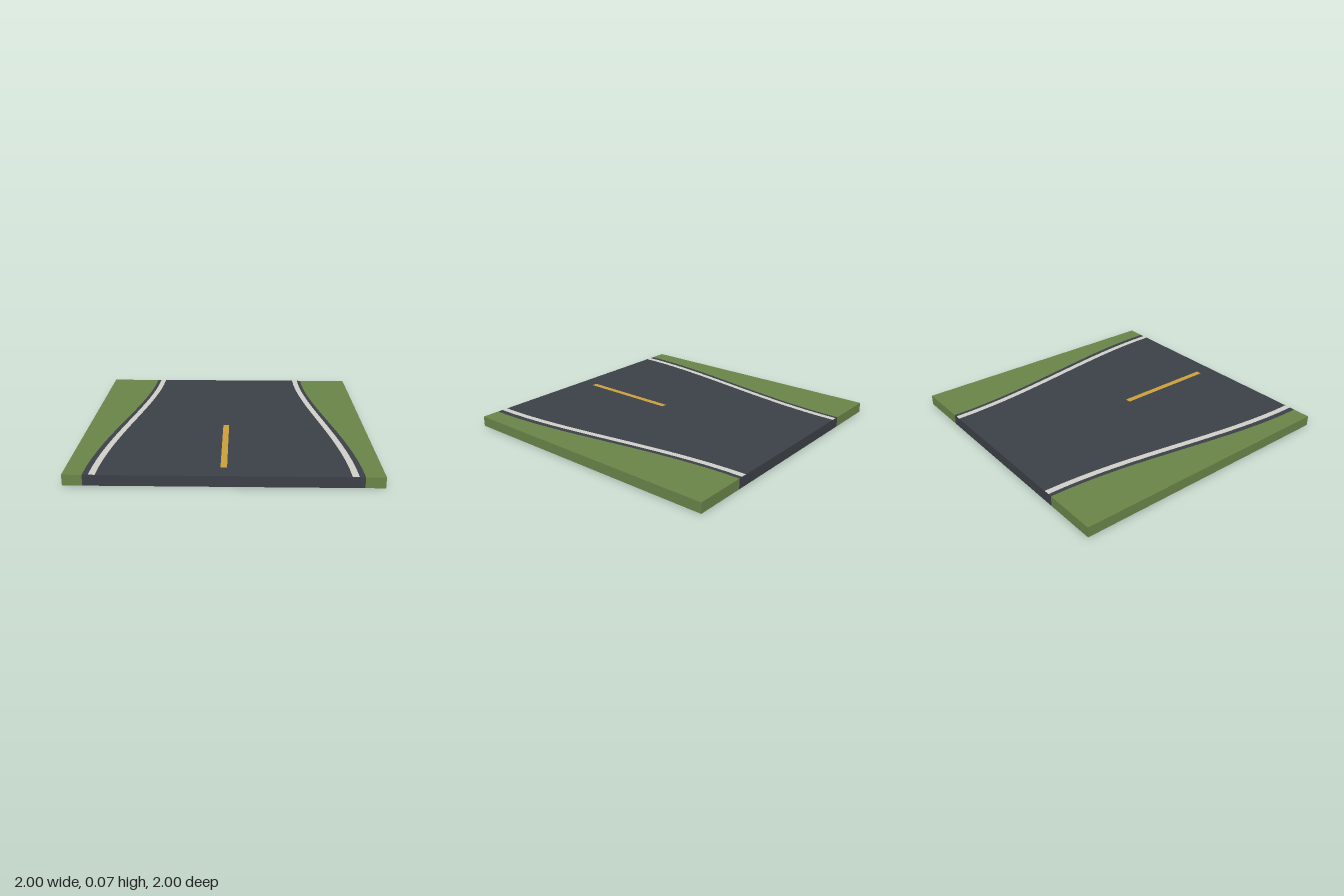
import * as THREE from 'three';

const TOP = 0.073, LIFT = 0.0015, STEPS = 16;

// Smooth taper from the narrow back (z = -1) to the wide front (z = 1)
const taper = (back, front) => z => THREE.MathUtils.lerp(back, front, THREE.MathUtils.smoothstep(z, -1, 1));
const roadEdge = taper(0.625, 0.873);
const lineOuter = taper(0.598, 0.835);
const lineInner = taper(0.556, 0.792);

function paint(name, color) {
  const m = new THREE.MeshStandardMaterial({ color, side: THREE.DoubleSide });
  m.name = name;
  return m;
}

// Sheet stretched between two rails of points
function sheet(name, material, railA, railB) {
  const index = [], n = railA.length;
  for (let i = 0; i < n - 1; i++) index.push(i, i + 1, n + i, n + i, i + 1, n + i + 1);
  const g = new THREE.BufferGeometry().setFromPoints([...railA, ...railB]);
  g.setIndex(index);
  g.computeVertexNormals();
  const mesh = new THREE.Mesh(g, material);
  mesh.name = name;
  return mesh;
}

// Level ribbon between two x(z) edges, left edge first
function ribbon(name, material, xa, xb, y) {
  const rail = f => Array.from({ length: STEPS + 1 }, (_, i) => {
    const z = -1 + 2 * i / STEPS;
    return new THREE.Vector3(f(z), y, z);
  });
  return sheet(name, material, rail(xa), rail(xb));
}

// Upright skirt panel from the ground to the surface
function wall(name, material, x0, z0, x1, z1) {
  const rail = y => [new THREE.Vector3(x0, y, z0), new THREE.Vector3(x1, y, z1)];
  return sheet(name, material, rail(0), rail(TOP));
}

export function createModel() {
  const model = new THREE.Group();
  model.name = 'taperingRoadTile';
  const grass = paint('grass', 0x6a8549);
  const asphalt = paint('asphalt', 0x3c4148);
  const white = paint('whitePaint', 0xd2d0c9);
  const yellow = paint('yellowPaint', 0xcba03c);

  // Road surface and its end skirts
  const f = roadEdge(1), b = roadEdge(-1);
  model.add(
    ribbon('roadSurface', asphalt, z => -roadEdge(z), roadEdge, TOP),
    wall('roadFront', asphalt, -f, 1, f, 1),
    wall('roadBack', asphalt, b, -1, -b, -1));

  // Grass verges with their skirts, hollow underneath
  model.add(
    ribbon('vergeRight', grass, () => -1, z => -roadEdge(z), TOP),
    ribbon('vergeLeft', grass, roadEdge, () => 1, TOP),
    wall('vergeRightFront', grass, -1, 1, -f, 1),
    wall('vergeLeftFront', grass, f, 1, 1, 1),
    wall('vergeRightBack', grass, -b, -1, -1, -1),
    wall('vergeLeftBack', grass, 1, -1, b, -1),
    wall('vergeRightSide', grass, -1, -1, -1, 1),
    wall('vergeLeftSide', grass, 1, 1, 1, -1));

  // Painted edge lines
  model.add(
    ribbon('edgeLineRight', white, z => -lineOuter(z), z => -lineInner(z), TOP + LIFT),
    ribbon('edgeLineLeft', white, lineInner, lineOuter, TOP + LIFT));

  // Centre dash
  const dash = new THREE.Mesh(new THREE.PlaneGeometry(0.042, 0.752).rotateX(-Math.PI / 2), yellow);
  dash.name = 'centreDash';
  dash.position.set(0, TOP + LIFT, 0.499);
  model.add(dash);

  return model;
}
